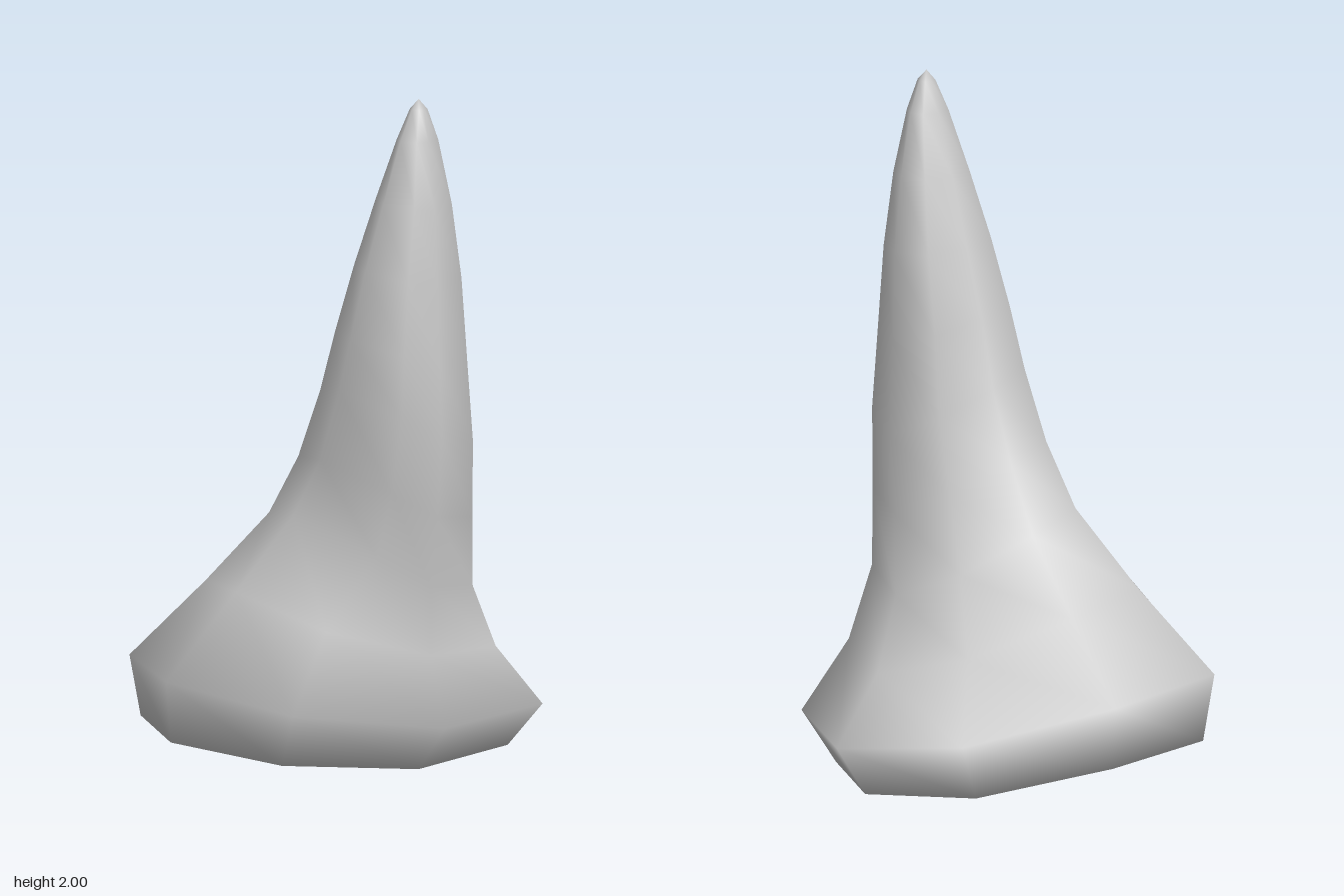
import * as THREE from 'three';
import { mergeVertices } from 'three/addons/utils/BufferGeometryUtils.js';

// Tilted rings, bottom to tip. Each gives its extreme points:
// left edge [x, y], right edge [x, y], front edge [z, y], back edge [z, y]
const RINGS = [
  [[-0.11, 0.005], [-0.11, 0.005], [-0.02, 0.005], [-0.02, 0.005]],
  [[-0.545, 0.12], [0.36, 0.01], [0.55, 0.085], [-0.57, 0.035]],
  [[-0.545, 0.30], [0.50, 0.15], [0.62, 0.28], [-0.62, 0.165]],
  [[-0.31, 0.51], [0.46, 0.36], [0.44, 0.54], [-0.40, 0.33]],
  [[-0.10, 0.71], [0.475, 0.57], [0.315, 0.77], [-0.25, 0.51]],
  [[0.02, 0.90], [0.52, 0.78], [0.28, 0.94], [-0.195, 0.73]],
  [[0.11, 1.10], [0.545, 1.02], [0.255, 1.15], [-0.165, 0.95]],
  [[0.17, 1.30], [0.54, 1.23], [0.235, 1.30], [-0.135, 1.22]],
  [[0.235, 1.50], [0.525, 1.46], [0.20, 1.50], [-0.11, 1.48]],
  [[0.30, 1.70], [0.505, 1.68], [0.15, 1.70], [-0.07, 1.70]],
  [[0.365, 1.88], [0.47, 1.88], [0.10, 1.88], [-0.025, 1.88]],
  [[0.395, 1.97], [0.445, 1.97], [0.06, 1.97], [0.01, 1.97]],
  [[0.42, 2.0], [0.42, 2.0], [0.035, 2.0], [0.035, 2.0]],
];
const SIDES = 8;

function ringPoint([left, right, front, back], level, j) {
  const angle = (j / SIDES) * Math.PI * 2;
  let c = Math.cos(angle), s = Math.sin(angle);
  const lr = c > 0 ? right : left, fb = s > 0 ? front : back;
  const y = c * c * lr[1] + s * s * fb[1];
  if (j % 2) { c *= 1.06; s *= 1.04; }
  // the front right corner of the shaft bulges outwards
  if (j === 1 && level > 3) { c = 0.9; s = 0.62; }
  const cx = (left[0] + right[0]) / 2, cz = (front[0] + back[0]) / 2;
  return [cx + c * (right[0] - left[0]) / 2, y, cz + s * (front[0] - back[0]) / 2];
}

function hornGeometry() {
  const positions = [], index = [];
  RINGS.forEach((ring, i) => {
    for (let j = 0; j < SIDES; j++) positions.push(...ringPoint(ring, i, j));
  });
  for (let i = 0; i < RINGS.length - 1; i++) {
    for (let j = 0; j < SIDES; j++) {
      const a = i * SIDES + j, b = i * SIDES + (j + 1) % SIDES;
      // the end rings are single points, so they need one triangle per side
      if (i < RINGS.length - 2) index.push(a, a + SIDES, b + SIDES);
      else index.push(a, a + SIDES, b);
      if (i > 0 && i < RINGS.length - 2) index.push(a, b + SIDES, b);
    }
  }
  const geometry = new THREE.BufferGeometry();
  geometry.setAttribute('position', new THREE.Float32BufferAttribute(positions, 3));
  geometry.setIndex(index);
  const merged = mergeVertices(geometry, 1e-4);
  merged.computeVertexNormals();
  return merged;
}

export function createModel() {
  const group = new THREE.Group();
  group.name = 'hornModel';
  // curved horn with a flared, closed root
  const horn = new THREE.Mesh(hornGeometry(), new THREE.MeshStandardMaterial({ color: 0xcccccc }));
  horn.name = 'horn';
  group.add(horn);
  return group;
}
